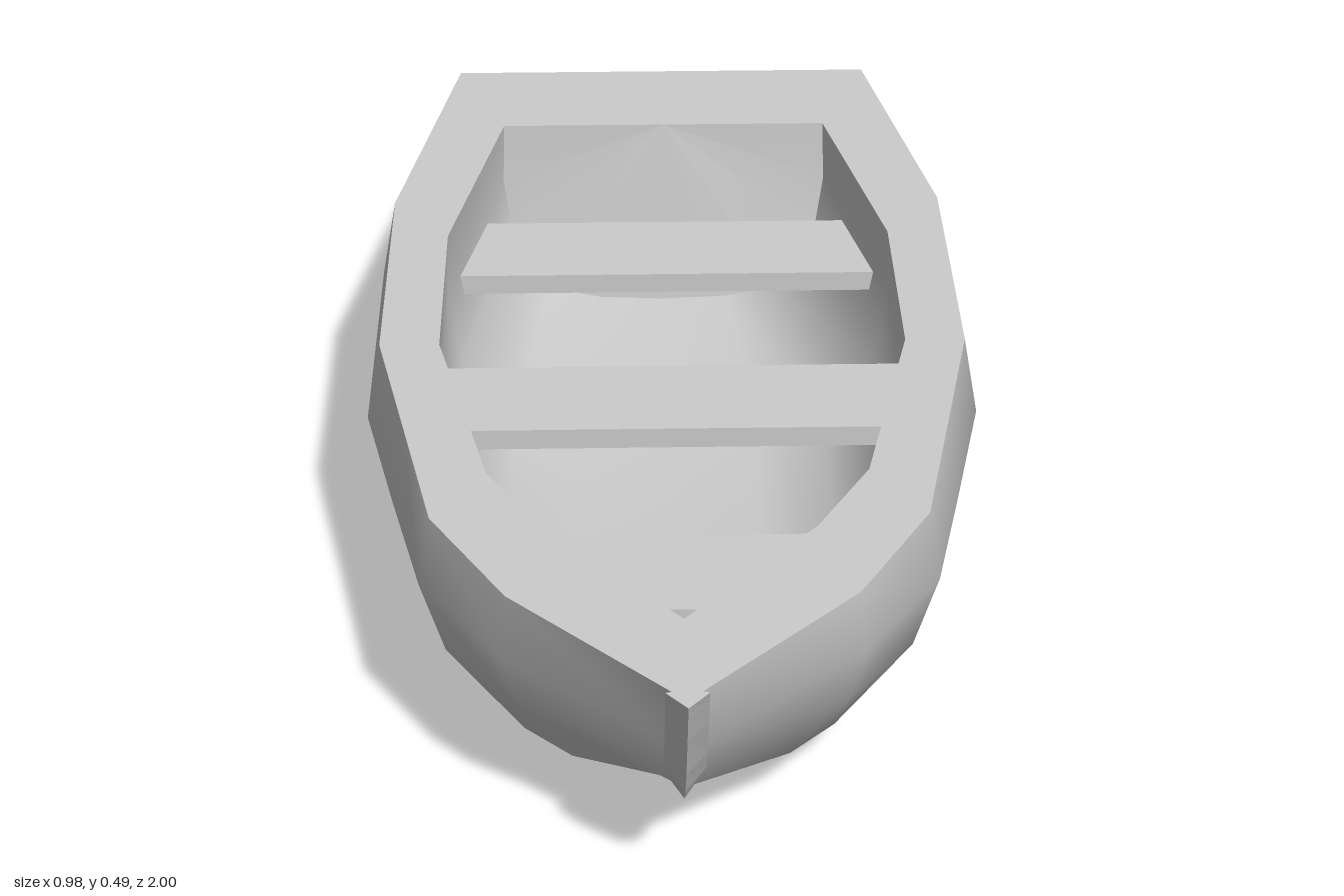
import * as THREE from 'three';

const TOP = 0.465;
const material = new THREE.MeshStandardMaterial({ color: 0xcccccc, side: THREE.DoubleSide });
const flatMaterial = new THREE.MeshStandardMaterial({ color: 0xcccccc, side: THREE.DoubleSide, flatShading: true });

// Half sections amidships, from the gunwale down to the keel: [x, y]
const OUTER = [[0.465, TOP], [0.49, 0.33], [0.445, 0.195], [0.3, 0.025], [0.2, 0.003], [0, 0]];
const INNER = [[0.37, TOP], [0.375, 0.34], [0.355, 0.22], [0.27, 0.1], [0.15, 0.08], [0, 0.075]];

// Plan outlines, stern to bow: [half width, z]
const RIM_OUT = [[0.37, -0.99], [0.465, -0.48], [0.465, 0], [0.365, 0.5], [0.25, 0.7], [0, 0.95]];
const RIM_IN = [[0.285, -0.77], [0.37, -0.36], [0.37, 0], [0.285, 0.38], [0.2, 0.53], [0, 0.76]];

function widthAt(outline, z) {
  for (let i = 1; i < outline.length; i++) {
    const [w0, z0] = outline[i - 1], [w1, z1] = outline[i];
    if (z <= z1) return w0 + (w1 - w0) * (z - z0) / (z1 - z0);
  }
  return 0;
}

// Half section scaled to the width at z, its bottom raised to keel; lean shifts the low points along z
function station(base, outline, z, keel, lean = 0) {
  const s = widthAt(outline, z) / base[0][0], low = base[base.length - 1][1];
  return base.map(([x, y]) => {
    const t = (TOP - y) / (TOP - low);
    return [x * s, TOP - t * (TOP - keel), z + lean * t * t];
  });
}

// Mirrors a half section so that it runs from left gunwale to right gunwale
function mirror(half) {
  return [...half, ...half.slice(0, -1).reverse().map(([x, y, z]) => [-x, y, z])];
}

// Surface through a list of cross-sections with equal point counts
function loft(sections, flip = false) {
  const n = sections[0].length, index = [];
  for (let i = 0; i < sections.length - 1; i++) {
    for (let j = 0; j < n - 1; j++) {
      const a = i * n + j, b = a + n, c = a + 1, d = b + 1;
      index.push(...(flip ? [a, c, b, b, c, d] : [a, b, c, b, d, c]));
    }
  }
  const g = new THREE.BufferGeometry();
  g.setAttribute('position', new THREE.Float32BufferAttribute(sections.flat(2), 3));
  g.setIndex(index);
  g.computeVertexNormals();
  return g;
}

// Closes one section with a fan from the middle of its top edge
function cap(section, flip) {
  const z = section[0][2];
  return loft([section.map(() => [0, TOP, z]), section], flip);
}

// Symmetric plan outline as points for a shape laid flat (shape y becomes -z)
function planPoints(half) {
  const left = half.map(([w, z]) => new THREE.Vector2(w, -z));
  const right = half.map(([w, z]) => new THREE.Vector2(-w, -z)).reverse();
  return [...left, ...right.filter(p => p.x !== 0)];
}

export function createModel() {
  const boat = new THREE.Group();
  boat.name = 'rowingBoat';
  const add = (name, geometry, mat = material) => {
    const mesh = new THREE.Mesh(geometry, mat);
    mesh.name = name;
    boat.add(mesh);
    return mesh;
  };

  // Outer hull, from the transom to the stem line
  const sternHalf = [[0.37, TOP, -0.99], [0.385, 0.33, -1], [0.355, 0.2, -0.995],
    [0.255, 0.11, -0.985], [0.16, 0.11, -0.985], [0, 0.11, -0.985]];
  const bowHalf = [[0, TOP, 0.95], [0, 0.33, 0.89], [0, 0.2, 0.8], [0, 0.15, 0.72], [0, 0.125, 0.67], [0, 0.11, 0.65]];
  const stern = mirror(sternHalf);
  const hullStations = [[-0.92, 0.075], [-0.48, 0.005], [0, 0], [0.25, 0.005], [0.5, 0.06], [0.7, 0.1, -0.09]]
    .map(([z, keel, lean]) => mirror(station(OUTER, RIM_OUT, z, keel, lean)));
  add('hull', loft([stern, ...hullStations, mirror(bowHalf)]));
  add('transom', cap(stern, false));

  // Inner lining
  const innerStern = mirror(station(INNER, RIM_IN, -0.77, 0.13, 0.04));
  const innerBow = [[0, TOP, 0.76], [0, 0.34, 0.74], [0, 0.24, 0.7], [0, 0.18, 0.63], [0, 0.15, 0.59], [0, 0.14, 0.57]];
  const innerStations = [[-0.36, 0.075], [0, 0.07], [0.38, 0.085], [0.53, 0.12, -0.02]]
    .map(([z, keel, lean]) => mirror(station(INNER, RIM_IN, z, keel, lean)));
  add('innerHull', loft([innerStern, ...innerStations, mirror(innerBow)], true));
  add('innerTransom', cap(innerStern, true));

  // Flat gunwale between the two outlines
  const rim = new THREE.Shape(planPoints(RIM_OUT));
  rim.holes.push(new THREE.Path(planPoints(RIM_IN)));
  add('gunwale', new THREE.ShapeGeometry(rim).rotateX(-Math.PI / 2).translate(0, TOP, 0));

  // Three bench seats cut to the inside width
  const benches = { sternSeat: [-0.635, -0.445], middleSeat: [-0.135, 0, 0.06], bowSeat: [0.365, 0.38, 0.53, 0.56] };
  for (const [name, zs] of Object.entries(benches)) {
    const shape = new THREE.Shape(planPoints(zs.map(z => [widthAt(RIM_IN, z) + 0.005, z])));
    const seat = new THREE.ExtrudeGeometry(shape, { depth: 0.035, bevelEnabled: false });
    add(name, seat.rotateX(-Math.PI / 2).translate(0, 0.305, 0));
  }

  // Stem post: a wedge following the bow, [front z, front y, back z, back y]
  const stemPath = [[1, 0.49, 0.955, 0.49], [0.985, 0.46, 0.94, 0.465], [0.955, 0.4, 0.91, 0.41],
    [0.9, 0.3, 0.85, 0.32], [0.86, 0.24, 0.8, 0.265], [0.8, 0.18, 0.75, 0.22], [0.72, 0.147, 0.69, 0.18]];
  const stem = stemPath.map(([zf, yf, zb, yb]) => {
    const zm = zf - 0.035;
    const ym = yf + (yb - yf) * 0.6;
    return [[0, yb, zb], [0.03, ym, zm], [0, yf, zf], [-0.03, ym, zm], [0, yb, zb]];
  });
  const ends = [stem[0], stem[stem.length - 1]].map(s => s.map(() => s[0]));
  add('stemPost', loft([ends[0], ...stem, ends[1]], true), flatMaterial);

  return boat;
}
